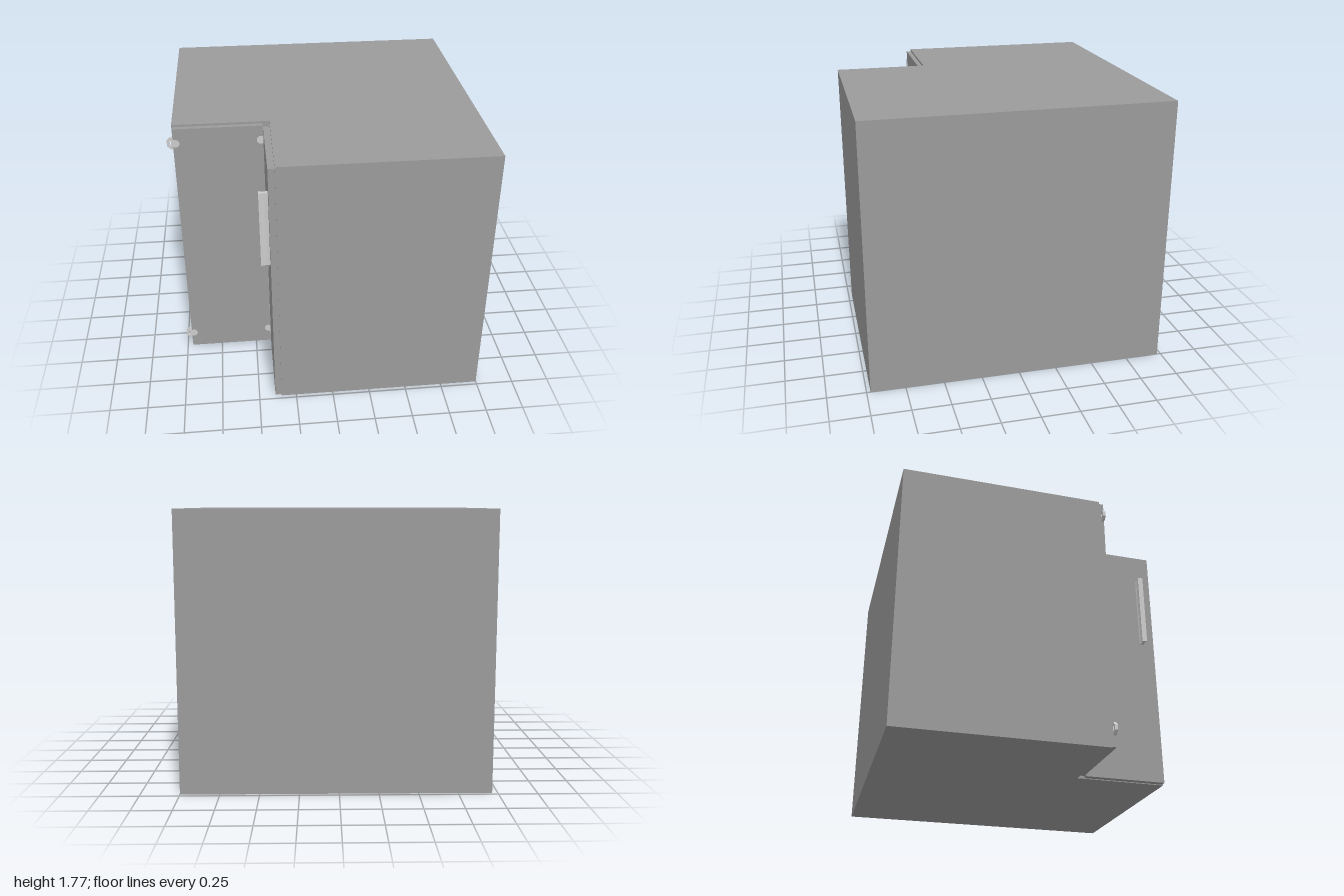
import * as THREE from 'three';

const cabinetGrey = new THREE.MeshStandardMaterial({ color: 0x9b9b9b, flatShading: true });
const fittingGrey = new THREE.MeshStandardMaterial({ color: 0xcccccc });

// Overall extents of the corner cabinet and its notch
const LEFT = -0.965, RIGHT = 1, BACK = -0.975, FRONT = 0.975, HEIGHT = 1.775;
const NOTCH_X = -0.35, NOTCH_Z = 0.365, PANEL = 0.035;

export function createModel() {
  const model = new THREE.Group();
  model.name = 'cornerCabinet';

  function add(parent, name, geometry, material, x = 0, y = 0, z = 0) {
    const mesh = new THREE.Mesh(geometry, material);
    mesh.name = name;
    mesh.position.set(x, y, z);
    parent.add(mesh);
  }

  // Cabinet board given by its lower and upper limits on each axis
  function addBoard(parent, name, [x0, x1], [y0, y1], [z0, z1]) {
    add(parent, name, new THREE.BoxGeometry(x1 - x0, y1 - y0, z1 - z0), cabinetGrey,
      (x0 + x1) / 2, (y0 + y1) / 2, (z0 + z1) / 2);
  }

  // Plan outline (x, z) extruded upwards
  function extrudePlan(points, height) {
    const shape = new THREE.Shape(points.map(([x, z]) => new THREE.Vector2(x, -z)));
    return new THREE.ExtrudeGeometry(shape, { depth: height, bevelEnabled: false }).rotateX(-Math.PI / 2);
  }

  // Carcass: L-shaped base and top with five upright panels
  const carcass = new THREE.Group();
  carcass.name = 'carcass';
  model.add(carcass);
  const plan = [
    [LEFT, BACK], [LEFT, NOTCH_Z], [NOTCH_X, NOTCH_Z],
    [NOTCH_X, FRONT], [RIGHT, FRONT], [RIGHT, BACK],
  ];
  add(carcass, 'basePanel', extrudePlan(plan, PANEL), cabinetGrey);
  add(carcass, 'topPanel', extrudePlan(plan, PANEL), cabinetGrey, 0, HEIGHT - PANEL, 0);
  const tall = [PANEL, HEIGHT - PANEL];
  addBoard(carcass, 'backPanel', [LEFT, RIGHT], tall, [BACK, BACK + PANEL]);
  addBoard(carcass, 'leftSidePanel', [RIGHT - PANEL, RIGHT], tall, [BACK + PANEL, FRONT - PANEL]);
  addBoard(carcass, 'frontPanel', [NOTCH_X, RIGHT], tall, [FRONT - PANEL, FRONT]);
  addBoard(carcass, 'rightSidePanel', [LEFT, LEFT + PANEL], tall, [BACK + PANEL, NOTCH_Z]);

  // Two doors meeting at the inner corner
  const doorHeight = [0.005, 1.76];
  addBoard(model, 'rearDoor', [-0.962, -0.393], doorHeight, [NOTCH_Z, 0.396]);
  addBoard(model, 'sideDoor', [-0.392, NOTCH_X], doorHeight, [0.412, 0.967]);

  // Eight-sided hinge plate with a slot near its outer edge
  const plateShape = new THREE.Shape();
  for (let i = 0; i < 8; i++) {
    const angle = (i + 0.5) * Math.PI / 4;
    const x = 0.043 * Math.cos(angle), y = 0.043 * Math.sin(angle);
    if (i === 0) plateShape.moveTo(x, y);
    else plateShape.lineTo(x, y);
  }
  plateShape.closePath();
  plateShape.holes.push(new THREE.Path([
    [-0.025, -0.016], [-0.025, 0.016], [-0.009, 0.016], [-0.009, -0.016],
  ].map(([x, y]) => new THREE.Vector2(x, y))));
  const plate = new THREE.ExtrudeGeometry(plateShape, { depth: 0.02, bevelEnabled: false });

  // Hinges at both edges of the rear door, with a near-flush cap on its face
  const cap = new THREE.CylinderGeometry(0.027, 0.027, 0.004, 16).rotateX(Math.PI / 2);
  for (const y of [0.12, 1.66]) {
    for (const [side, x, capX] of [['outer', -0.96, -0.948], ['inner', -0.39, -0.407]]) {
      const hinge = new THREE.Group();
      hinge.name = side + 'Hinge';
      model.add(hinge);
      add(hinge, 'hingePlate', plate, fittingGrey, x, y, 0.375);
      add(hinge, 'hingeCap', cap, fittingGrey, capX, y, 0.3955);
    }
  }

  // Upright pull on the side door: gently waisted grip above a short foot
  const pull = [
    [-0.391, 0.859], [-0.405, 0.864], [-0.42, 0.866], [-0.435, 0.864], [-0.45, 0.857],
    [-0.45, 0.893], [-0.435, 0.888], [-0.42, 0.886], [-0.405, 0.888], [-0.391, 0.892],
  ];
  const handle = new THREE.Group();
  handle.name = 'handle';
  model.add(handle);
  add(handle, 'grip', extrudePlan(pull, 0.5), fittingGrey, 0, 1.055, 0);
  add(handle, 'gripFoot', extrudePlan(pull, 0.023), fittingGrey, 0, 1.032, 0);

  return model;
}
